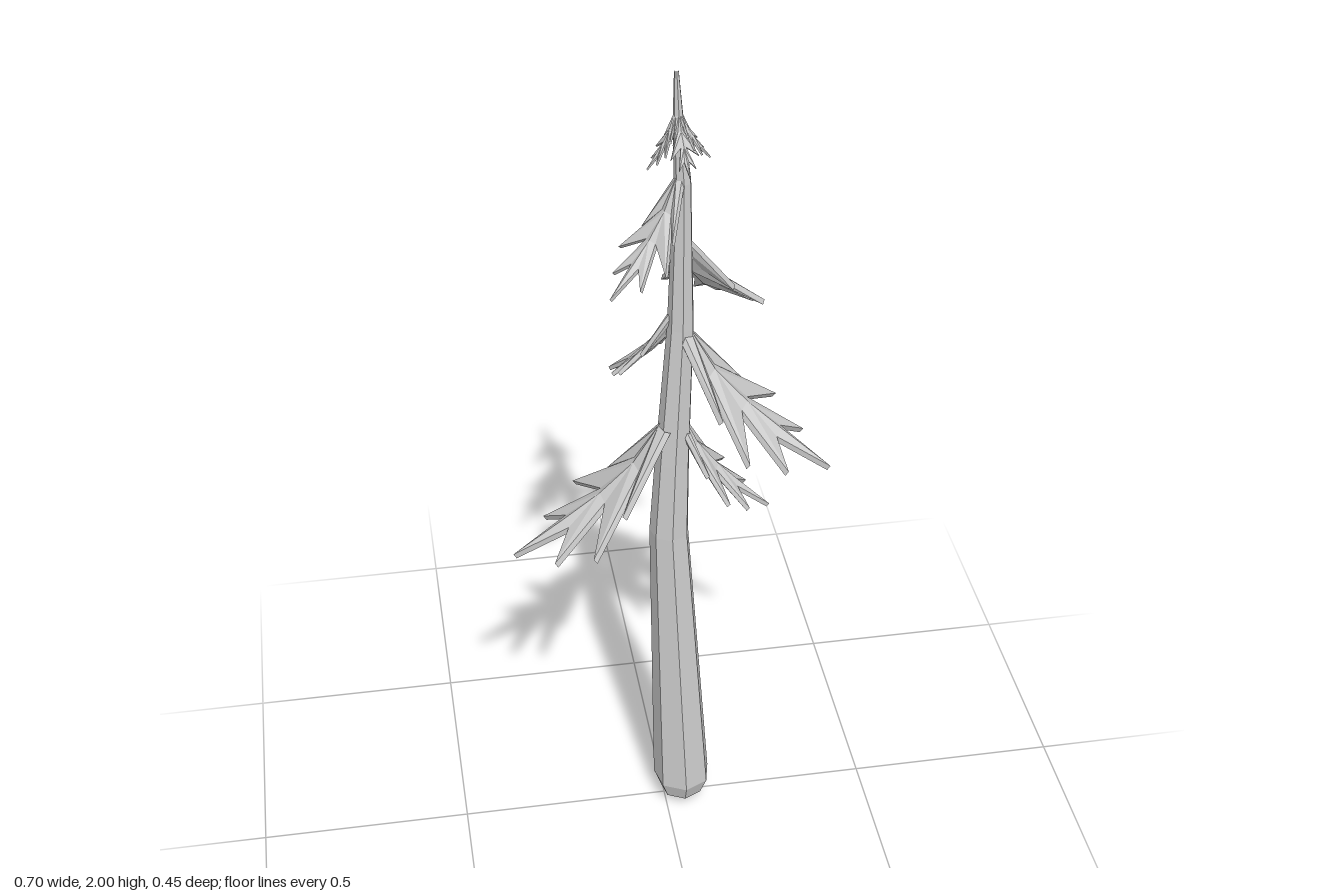
import * as THREE from 'three';

const grey = new THREE.MeshStandardMaterial({ color: 0xcccccc });
grey.name = 'plain grey';
grey.flatShading = true;

const SIDES = 7;
// Trunk rings from the top down: [y, centre x, centre z, radius]
const RINGS = [
  [2.0, 0.022, 0.013, 0.005],
  [1.9, 0.026, 0.013, 0.011],
  [1.75, 0.036, 0.013, 0.019],
  [1.4, 0.034, 0.012, 0.03],
  [1.05, 0.017, 0.012, 0.04],
  [0.85, 0.01, 0.012, 0.046],
  [0.08, 0.043, 0.012, 0.07],
  [0.035, 0.043, 0.012, 0.053],
  [0.005, 0.046, 0.012, 0],
];

function trunk() {
  const g = new THREE.CylinderGeometry(1, 1, 1, SIDES, RINGS.length - 1, true);
  const p = g.attributes.position;
  for (let i = 0; i < p.count; i++) {
    const [y, cx, cz, r] = RINGS[Math.floor(i / (SIDES + 1))];
    p.setXYZ(i, cx + p.getX(i) * r, y, cz + p.getZ(i) * r);
  }
  const flat = g.toNonIndexed();
  flat.computeVertexNormals();
  return new THREE.Mesh(flat, grey);
}

// Spine stations as fractions of the reach: [along, notch half width]
const STATIONS = [[0.03, 0.06], [0.2, 0.08], [0.42, 0.08], [0.65, 0.065]];
// Barb tips growing between stations: [along, sideways, sag]
const BARBS = [[0.34, 0.27, 0.05], [0.55, 0.42, 0.07], [0.77, 0.25, 0.05]];
// Half thickness along the spine and at the blade edges, per branch length
const SPINE = 0.034, EDGE = 0.014;

// A drooping, ridged branch with pairs of swept, blade-like barbs
function frond(base, tip) {
  const from = new THREE.Vector3(...base), to = new THREE.Vector3(...tip);
  const length = from.distanceTo(to);
  const drop = from.y - to.y;
  const dir = to.clone().sub(from).setY(0);
  const reach = dir.length();
  dir.normalize();
  const side = new THREE.Vector3(0, 1, 0).cross(dir);

  const at = (u, w, lift, sag = 0) => {
    const slope = drop * 0.55 * Math.pow(u, -0.45) / reach;
    const normal = dir.clone().multiplyScalar(slope).setY(1).normalize();
    const point = from.clone()
      .addScaledVector(dir, u * reach)
      .addScaledVector(side, w * reach)
      .addScaledVector(normal, lift * length);
    point.y -= drop * Math.pow(u, 0.55) + sag * reach;
    return point;
  };

  const pos = [];
  for (const s of [1, -1]) {
    const tri = (flip, a, b, c) => {
      for (const v of flip ? [a, c, b] : [a, b, c]) pos.push(v.x, v.y, v.z);
    };
    // Upper and lower faces
    const [top, bottom] = [1, -1].map((face) => {
      const flip = s * face < 0;
      const spine = STATIONS.map(([u]) => at(u, 0, face * SPINE));
      const notch = STATIONS.map(([u, w]) => at(u, s * w, face * EDGE));
      const end = at(1, 0, face * EDGE);
      const outline = [notch[0]];
      BARBS.forEach(([u, w, sag], i) => {
        const barb = at(u, s * w, face * EDGE, sag);
        tri(flip, spine[i], spine[i + 1], notch[i + 1]);
        tri(flip, spine[i], notch[i + 1], barb);
        tri(flip, spine[i], barb, notch[i]);
        outline.push(barb, notch[i + 1]);
      });
      tri(flip, spine[3], end, notch[3]);
      outline.push(end);
      return outline;
    });
    // Thin walls around the outline
    for (let i = 0; i < top.length - 1; i++) {
      tri(s < 0, bottom[i], top[i], top[i + 1]);
      tri(s < 0, bottom[i], top[i + 1], bottom[i + 1]);
    }
  }
  const g = new THREE.BufferGeometry();
  g.setAttribute('position', new THREE.Float32BufferAttribute(pos, 3));
  g.computeVertexNormals();
  return new THREE.Mesh(g, grey);
}

// Branches: name, root on the trunk, tip
const BRANCHES = [
  ['lowRightBranch', [0.01, 1.2, 0.025], [-0.35, 0.835, 0.035]],
  ['lowLeftBranch', [0.02, 1.21, 0.01], [0.235, 0.91, 0.035]],
  ['middleLeftBranch', [0.03, 1.44, 0.012], [0.345, 1.08, 0.145]],
  ['middleBackBranch', [0.03, 1.48, 0.012], [-0.105, 1.22, -0.12]],
  ['upperBackBranch', [0.035, 1.65, 0.012], [0.203, 1.335, -0.23]],
  ['upperRightBranch', [0.035, 1.8, 0.013], [-0.13, 1.535, 0.105]],
  ['crownRightTwig', [0.025, 1.93, 0.013], [-0.04, 1.79, 0.025]],
  ['crownFrontTwig', [0.025, 1.93, 0.013], [0.04, 1.79, 0.085]],
  ['crownLeftTwig', [0.025, 1.93, 0.013], [0.09, 1.81, 0.03]],
  ['crownBackTwig', [0.025, 1.93, 0.013], [0.03, 1.8, -0.055]],
];

export function createModel() {
  const model = new THREE.Group();
  model.name = 'sparseConifer';
  const stem = trunk();
  stem.name = 'trunk';
  model.add(stem);
  for (const [name, base, tip] of BRANCHES) {
    const mesh = frond(base, tip);
    mesh.name = name;
    model.add(mesh);
  }
  return model;
}
